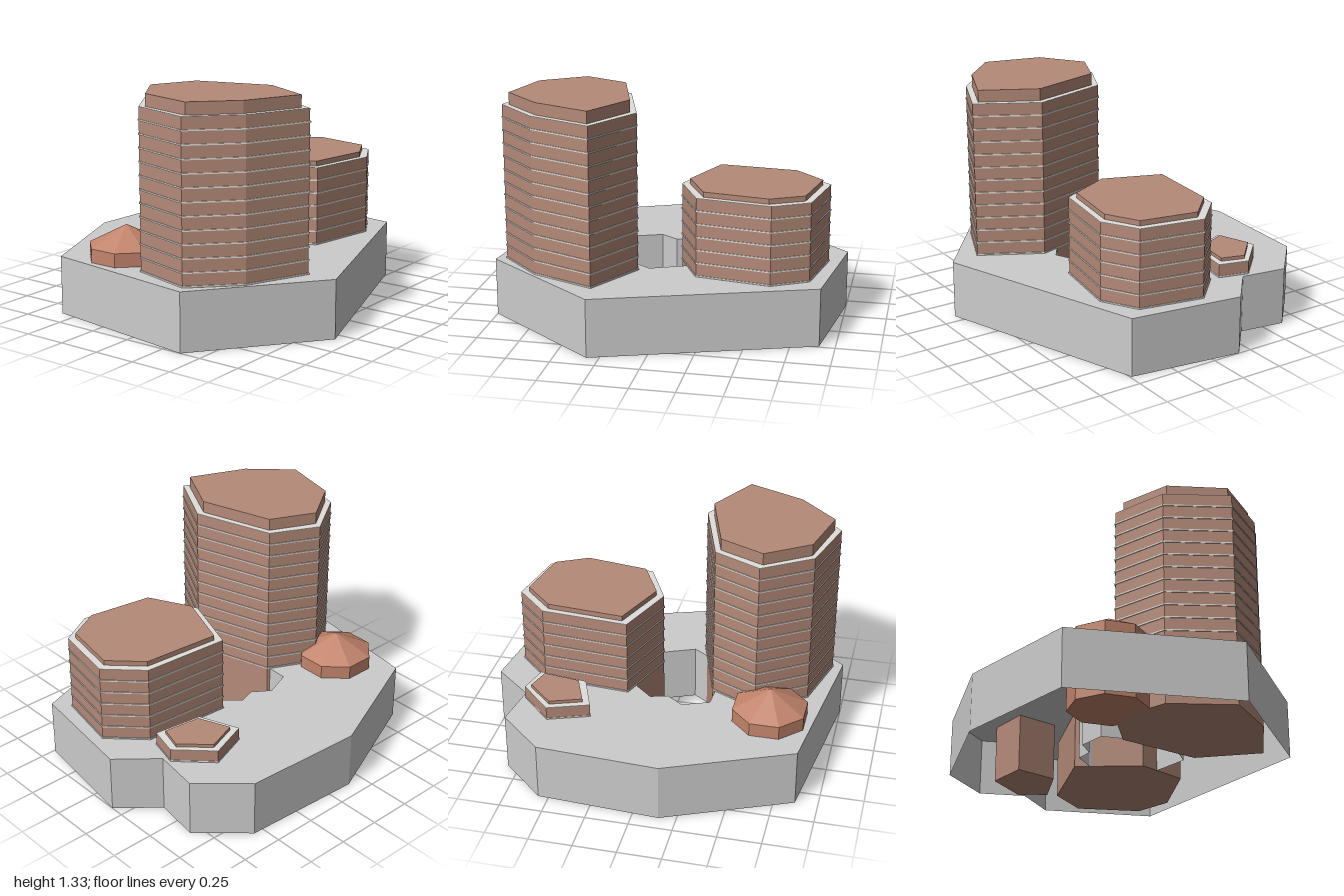
import * as THREE from 'three';

const GROUND = 0.34;   // height of the podium deck
const STOREY = 0.0765;

const material = (color) => new THREE.MeshStandardMaterial({ color, flatShading: true, side: THREE.DoubleSide });
const grey = material(0xcccccc);
const pale = material(0xe0deda);
const brick = material(0xb48a78);
const terracotta = material(0xc2846c);

// Plan outlines are lists of [x, z]
const plan = (pts) => pts.map(([x, z]) => new THREE.Vector2(x, -z));

function add(parent, name, geometry, mat) {
  const mesh = new THREE.Mesh(geometry, mat);
  mesh.name = name;
  parent.add(mesh);
  return mesh;
}

// Upright prism over a plan outline
function prism(parent, name, pts, y0, y1, mat) {
  const geo = new THREE.ExtrudeGeometry(new THREE.Shape(plan(pts)), { depth: y1 - y0, bevelEnabled: false });
  geo.rotateX(-Math.PI / 2).translate(0, y0, 0);
  return add(parent, name, geo, mat);
}

// Enlarge a plan about its centre
function grow(pts, factor) {
  const cx = pts.reduce((s, p) => s + p[0], 0) / pts.length;
  const cz = pts.reduce((s, p) => s + p[1], 0) / pts.length;
  return pts.map(([x, z]) => [cx + (x - cx) * factor, cz + (z - cz) * factor]);
}

// Deck with a courtyard opening, walled all round and open underneath
function podium(outer, court) {
  const group = new THREE.Group();
  group.name = 'podium';
  const shape = new THREE.Shape(plan(outer));
  shape.holes.push(new THREE.Path(plan(court)));
  add(group, 'deck', new THREE.ShapeGeometry(shape).rotateX(-Math.PI / 2).translate(0, GROUND, 0), grey);
  for (const [name, loop] of [['outerWall', outer], ['courtyardWall', court]]) {
    loop.forEach(([x0, z0], i) => {
      const [x1, z1] = loop[(i + 1) % loop.length];
      const geo = new THREE.PlaneGeometry(Math.hypot(x1 - x0, z1 - z0), GROUND);
      // outer loop runs clockwise in plan, so the panel is turned to face out
      geo.rotateY(Math.atan2(z1 - z0, x0 - x1));
      geo.translate((x0 + x1) / 2, GROUND / 2, (z0 + z1) / 2);
      add(group, name, geo, grey);
    });
  }
  return group;
}

// Block with thin floor slabs, a pale roof and a set-back top
function building(name, outline, top, floors, topHeight) {
  const group = new THREE.Group();
  group.name = name;
  const roofY = GROUND + 0.003 + floors * STOREY;
  prism(group, 'walls', outline, 0, roofY - 0.003, brick);
  prism(group, 'roof', outline, roofY - 0.003, roofY, pale);
  const slab = grow(outline, 1.012);
  for (let i = 0; i < floors; i++) {
    const y = GROUND + 0.002 + i * STOREY;
    prism(group, 'floorSlab', slab, y, y + 0.008, pale);
  }
  prism(group, 'setBackTop', top, roofY, roofY + topHeight, brick);
  return group;
}

// Octagonal pavilion with a pointed roof
function pavilion() {
  const group = new THREE.Group();
  group.name = 'pavilion';
  const r = 0.205 / Math.cos(Math.PI / 8);
  const body = new THREE.CylinderGeometry(r, r, 0.42, 8).rotateY(Math.PI / 8).translate(0, 0.21, 0);
  const roof = new THREE.ConeGeometry(r, 0.115, 8, 1, true).rotateY(Math.PI / 8).translate(0, 0.4775, 0);
  add(group, 'pavilionWalls', body, terracotta);
  add(group, 'pavilionRoof', roof, terracotta);
  group.position.set(-0.285, 0, 0.66);
  return group;
}

export function createModel() {
  const model = new THREE.Group();
  model.name = 'buildingComplex';

  model.add(podium(
    [[-0.17, -1], [0.49, -0.91], [0.905, 0.32], [0.37, 1], [-0.6, 0.87], [-0.91, 0.15],
      [-0.87, -0.56], [-0.63, -0.82], [-0.36, -0.78]],
    [[-0.14, -0.16], [-0.23, -0.06], [-0.2, 0.04], [-0.27, 0.14], [-0.21, 0.295], [-0.09, 0.3],
      [0.05, 0.33], [0.2, 0.28], [0.29, 0.17], [0.345, 0.09], [0.26, -0.11], [0.2, -0.17], [0.02, -0.2]],
  ));

  model.add(building('tallTower',
    [[0.39, 0.145], [0.735, 0.335], [0.58, 0.7], [0.34, 0.94], [-0.03, 0.84], [-0.215, 0.56], [-0.08, 0.285]],
    [[0.38, 0.185], [0.69, 0.35], [0.55, 0.68], [0.335, 0.9], [0, 0.82], [-0.17, 0.57], [-0.05, 0.31]],
    12, 0.07));

  model.add(building('lowTower',
    [[0.015, -0.905], [0.39, -0.835], [0.505, -0.63], [0.435, -0.2], [0.155, -0.065], [-0.215, -0.2], [-0.175, -0.715]],
    [[0.03, -0.86], [0.365, -0.8], [0.465, -0.61], [0.405, -0.235], [0.155, -0.11], [-0.18, -0.235], [-0.14, -0.69]],
    6, 0.03));

  model.add(building('smallBlock',
    [[-0.41, -0.765], [-0.235, -0.72], [-0.275, -0.435], [-0.51, -0.345], [-0.595, -0.58]],
    [[-0.41, -0.725], [-0.275, -0.685], [-0.305, -0.47], [-0.49, -0.395], [-0.555, -0.575]],
    1, 0.02));

  model.add(pavilion());
  return model;
}
